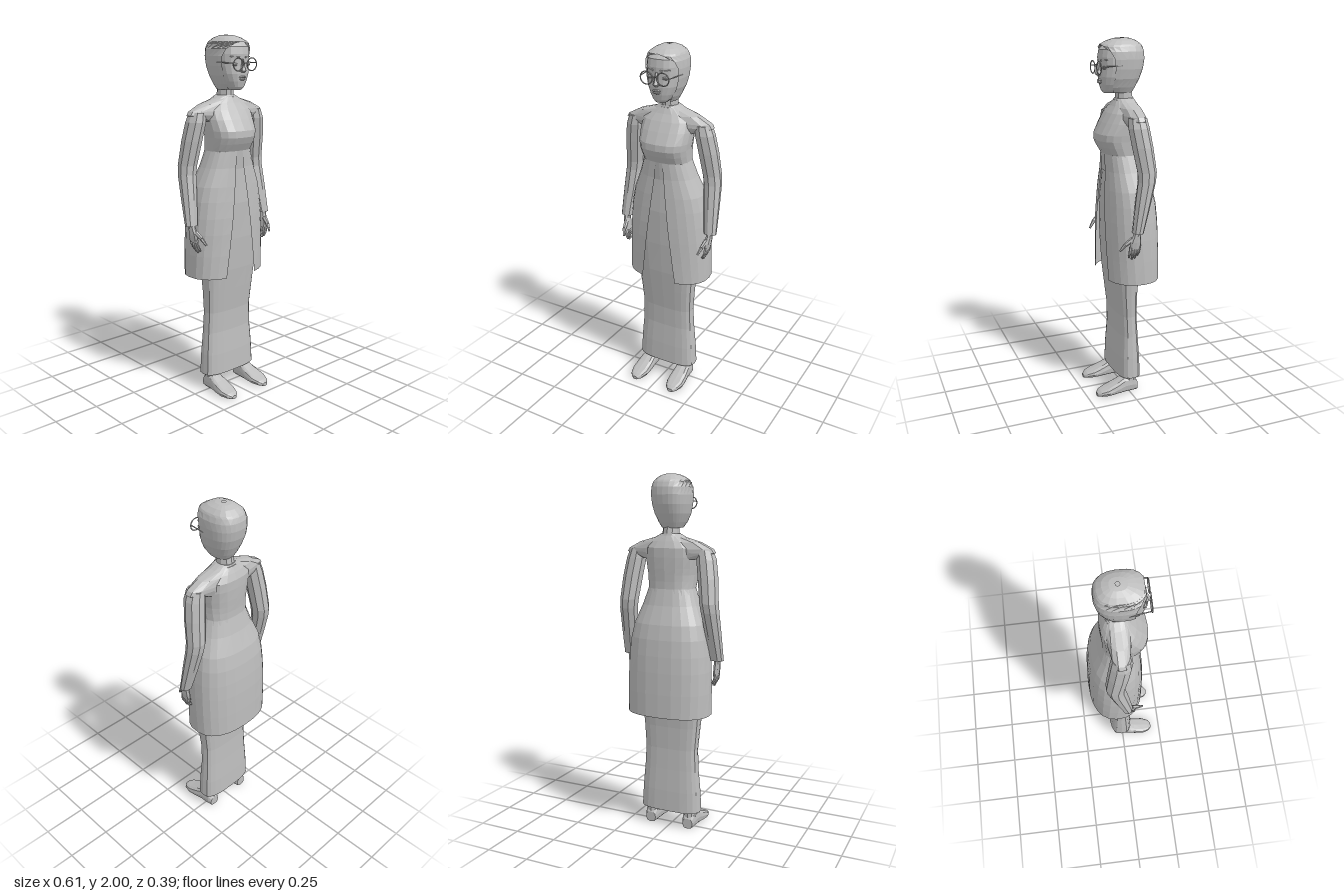
import * as THREE from 'three';

const grey = new THREE.MeshStandardMaterial({ color: 0xbdbdbd });
grey.name = 'plain grey';
const greyCloth = grey.clone(); // same colour, seen from both sides
greyCloth.name = 'plain grey cloth';
greyCloth.side = THREE.DoubleSide;

// Facet a geometry
function faceted(geo) {
  const g = geo.index ? geo.toNonIndexed() : geo;
  g.computeVertexNormals();
  return g;
}

// Skin over rings [y, halfWidth, zFront, zBack, xCentre, frontGapHalfWidth]; p sets how square they are
function loft(rings, { n = 12, p = 2, side = 1, caps = true } = {}) {
  const pos = [], idx = [];
  const pw = (v) => Math.sign(v) * Math.pow(Math.abs(v), 2 / p);
  for (const [y, hw, zf, zb, xc = 0, gap = 0] of rings) {
    const t0 = Math.asin(Math.min(1, Math.pow(gap / hw, p / 2)));
    for (let j = 0; j <= n; j++) {
      const t = t0 + (2 * Math.PI - 2 * t0) * j / n;
      pos.push(xc * side + hw * pw(Math.sin(t)), y, (zf + zb) / 2 + (zf - zb) / 2 * pw(Math.cos(t)));
    }
  }
  const w = n + 1, last = rings.length - 1;
  for (let i = 0; i < last; i++) for (let j = 0; j < n; j++) {
    const a = i * w + j, d = a + w;
    idx.push(a, a + 1, d + 1, a, d + 1, d);
  }
  if (caps) for (const i of [0, last]) {
    const [y, , zf, zb, xc = 0] = rings[i], c = pos.length / 3;
    pos.push(xc * side, y, (zf + zb) / 2);
    for (let j = 0; j < n; j++) {
      const a = i * w + j;
      if (i) idx.push(c, a, a + 1); else idx.push(c, a + 1, a);
    }
  }
  const g = new THREE.BufferGeometry();
  g.setAttribute('position', new THREE.Float32BufferAttribute(pos, 3));
  g.setIndex(idx);
  return faceted(g);
}

// Tapered rod between two points
function rod(a, b, ra, rb, n = 6) {
  const A = new THREE.Vector3(...a), d = new THREE.Vector3(...b).sub(A);
  const g = new THREE.CylinderGeometry(rb, ra, d.length(), n);
  g.translate(0, d.length() / 2, 0);
  g.applyQuaternion(new THREE.Quaternion().setFromUnitVectors(new THREE.Vector3(0, 1, 0), d.normalize()));
  return faceted(g.translate(...a));
}

export function createModel() {
  const model = new THREE.Group();
  model.name = 'standingWoman';
  const add = (name, geo, mat = grey) => {
    const m = new THREE.Mesh(geo, mat);
    m.name = name;
    model.add(m);
    return m;
  };

  // Long skirt, hollow below
  add('skirt', loft([
    [0.10, 0.18, 0.063, -0.08], [0.22, 0.174, 0.058, -0.075], [0.35, 0.163, 0.048, -0.066],
    [0.47, 0.158, 0.05, -0.06], [0.6, 0.168, 0.065, -0.062], [0.72, 0.18, 0.078, -0.07],
    [0.9, 0.19, 0.09, -0.1], [1.1, 0.185, 0.095, -0.12], [1.3, 0.13, 0.085, -0.09],
  ], { n: 20, p: 3, caps: false }), greyCloth);

  // Tunic, open down the front and flaring over the hips
  add('tunic', loft([
    [0.69, 0.242, 0.122, -0.192, 0, 0.105], [0.82, 0.242, 0.122, -0.191, 0, 0.088],
    [0.94, 0.239, 0.122, -0.188, 0, 0.073], [1.03, 0.233, 0.12, -0.183, 0, 0.061],
    [1.12, 0.223, 0.115, -0.174, 0, 0.05], [1.2, 0.205, 0.11, -0.158, 0, 0.04],
    [1.3, 0.163, 0.102, -0.122, 0, 0.028], [1.39, 0.132, 0.102, -0.1, 0, 0.02],
  ], { n: 22, p: 2.4, caps: false }), greyCloth);

  // Bodice with a full bust
  add('bodice', loft([
    [1.29, 0.155, 0.09, -0.118], [1.39, 0.132, 0.1, -0.1], [1.43, 0.135, 0.125, -0.1],
    [1.465, 0.138, 0.142, -0.102], [1.5, 0.143, 0.14, -0.104], [1.56, 0.148, 0.108, -0.106],
    [1.61, 0.145, 0.078, -0.105], [1.645, 0.11, 0.052, -0.09], [1.675, 0.06, 0.035, -0.075],
  ], { n: 18, p: 2.5 }));

  // Shoulder cape with projecting tips
  add('shoulderCape', loft([
    [1.55, 0.17, 0.04, -0.08], [1.585, 0.263, 0.045, -0.08], [1.605, 0.25, 0.045, -0.082],
    [1.64, 0.18, 0.042, -0.08], [1.665, 0.09, 0.036, -0.075], [1.685, 0.05, 0.03, -0.07],
  ], { n: 14, p: 2.4 }));

  // Neck
  add('neck', loft([
    [1.63, 0.055, 0.04, -0.08], [1.68, 0.045, 0.03, -0.07],
    [1.73, 0.044, 0.03, -0.062], [1.8, 0.05, 0.04, -0.07],
  ], { n: 10 }));

  // Face
  add('face', loft([
    [1.715, 0.028, 0.096, 0.03], [1.73, 0.045, 0.108, 0.0], [1.76, 0.066, 0.116, -0.04],
    [1.8, 0.084, 0.121, -0.07], [1.84, 0.092, 0.119, -0.09], [1.87, 0.094, 0.12, -0.09],
    [1.9, 0.094, 0.122, -0.09], [1.94, 0.09, 0.115, -0.08], [1.97, 0.065, 0.085, -0.06],
  ], { n: 18, p: 2.4 }));

  // Close head covering that frames the face
  add('headCovering', loft([
    [1.715, 0.052, 0.07, -0.06, 0, 0.04], [1.745, 0.07, 0.1, -0.078, 0, 0.06],
    [1.79, 0.09, 0.118, -0.1, 0, 0.083], [1.84, 0.101, 0.125, -0.118, 0, 0.094],
    [1.89, 0.105, 0.13, -0.126, 0, 0.097], [1.93, 0.102, 0.128, -0.124, 0, 0.085],
    [1.955, 0.093, 0.12, -0.115, 0, 0.045], [1.965, 0.087, 0.112, -0.108],
    [1.985, 0.063, 0.075, -0.082], [1.997, 0.035, 0.035, -0.05], [2.0, 0.01, 0.0, -0.02],
  ], { n: 18, p: 2.5, caps: false }), greyCloth);

  // Nose and mouth
  add('nose', loft([
    [1.805, 0.012, 0.132, 0.1], [1.815, 0.017, 0.146, 0.1],
    [1.835, 0.011, 0.138, 0.1], [1.875, 0.007, 0.125, 0.1],
  ], { n: 6 }));
  for (const [name, y, w] of [['upperLip', 1.782, 0.025], ['lowerLip', 1.771, 0.022]]) {
    const lip = new THREE.SphereGeometry(1, 8, 4).scale(w, 0.0065, 0.012);
    add(name, faceted(lip.translate(0, y, 0.119)));
  }
  add('glassesBridge', rod([-0.014, 1.856, 0.142], [0.014, 1.856, 0.142], 0.003, 0.003, 5));

  for (const s of [1, -1]) {
    const label = s > 0 ? 'left' : 'right';

    // Eyes, brows and glasses
    add(label + 'Eye', faceted(new THREE.SphereGeometry(1, 8, 5).scale(0.018, 0.009, 0.01).translate(s * 0.045, 1.848, 0.109)));
    add(label + 'Brow', rod([s * 0.02, 1.884, 0.119], [s * 0.07, 1.888, 0.1], 0.005, 0.003, 5));
    const rim = new THREE.TorusGeometry(0.033, 0.0032, 5, 16).scale(1.08, 1, 1);
    add(label + 'GlassesRim', faceted(rim.translate(s * 0.048, 1.848, 0.139)));
    add(label + 'GlassesTemple', rod([s * 0.084, 1.855, 0.139], [s * 0.1, 1.858, 0.03], 0.003, 0.003, 5));

    // Sleeve, bent back at the elbow
    add(label + 'Sleeve', loft([
      [1.0, 0.037, 0.038, -0.022, 0.268], [1.15, 0.046, 0.018, -0.066, 0.256],
      [1.27, 0.051, -0.001, -0.098, 0.247], [1.32, 0.053, 0.0, -0.105, 0.241],
      [1.45, 0.056, 0.025, -0.09, 0.226], [1.55, 0.055, 0.04, -0.075, 0.21],
      [1.6, 0.045, 0.035, -0.065, 0.2],
    ], { n: 9, side: s }));

    // Hand
    add(label + 'Palm', loft([
      [0.91, 0.014, 0.05, -0.014, 0.258], [0.95, 0.017, 0.05, -0.014, 0.263],
      [0.985, 0.018, 0.036, -0.01, 0.266], [1.02, 0.018, 0.028, -0.012, 0.267],
    ], { n: 8, side: s }));
    for (let i = 0; i < 4; i++) {
      const z = 0.044 - i * 0.016, len = [0.048, 0.058, 0.054, 0.04][i];
      const knuckle = [s * 0.262, 0.925, z], mid = [s * 0.258, 0.915 - len * 0.5, z + 0.004];
      add(label + 'FingerBase', rod(knuckle, mid, 0.01, 0.0085));
      add(label + 'FingerTip', rod(mid, [s * 0.242, 0.908 - len, z + 0.005], 0.0085, 0.005));
    }
    add(label + 'ThumbBase', rod([s * 0.26, 0.965, 0.035], [s * 0.25, 0.935, 0.072], 0.014, 0.011));
    add(label + 'ThumbTip', rod([s * 0.25, 0.935, 0.072], [s * 0.238, 0.9, 0.098], 0.011, 0.006));

    // Ankle and foot; the foot is skinned heel to toe
    add(label + 'Ankle', loft([
      [0.06, 0.04, 0.035, -0.048, 0.118], [0.12, 0.036, 0.028, -0.045, 0.118], [0.35, 0.045, 0.03, -0.045, 0.105],
    ], { n: 10, side: s }));
    const foot = loft([
      [-0.05, 0.03, 0, -0.06, 0.118], [-0.03, 0.039, 0, -0.09, 0.118], [0.03, 0.044, 0, -0.095, 0.118],
      [0.08, 0.05, 0, -0.07, 0.12], [0.135, 0.052, 0, -0.047, 0.122], [0.175, 0.038, 0, -0.033, 0.122],
      [0.195, 0.016, 0, -0.02, 0.122],
    ], { n: 12, p: 2.8, side: s });
    add(label + 'Foot', faceted(foot.rotateX(Math.PI / 2)));
  }
  return model;
}
